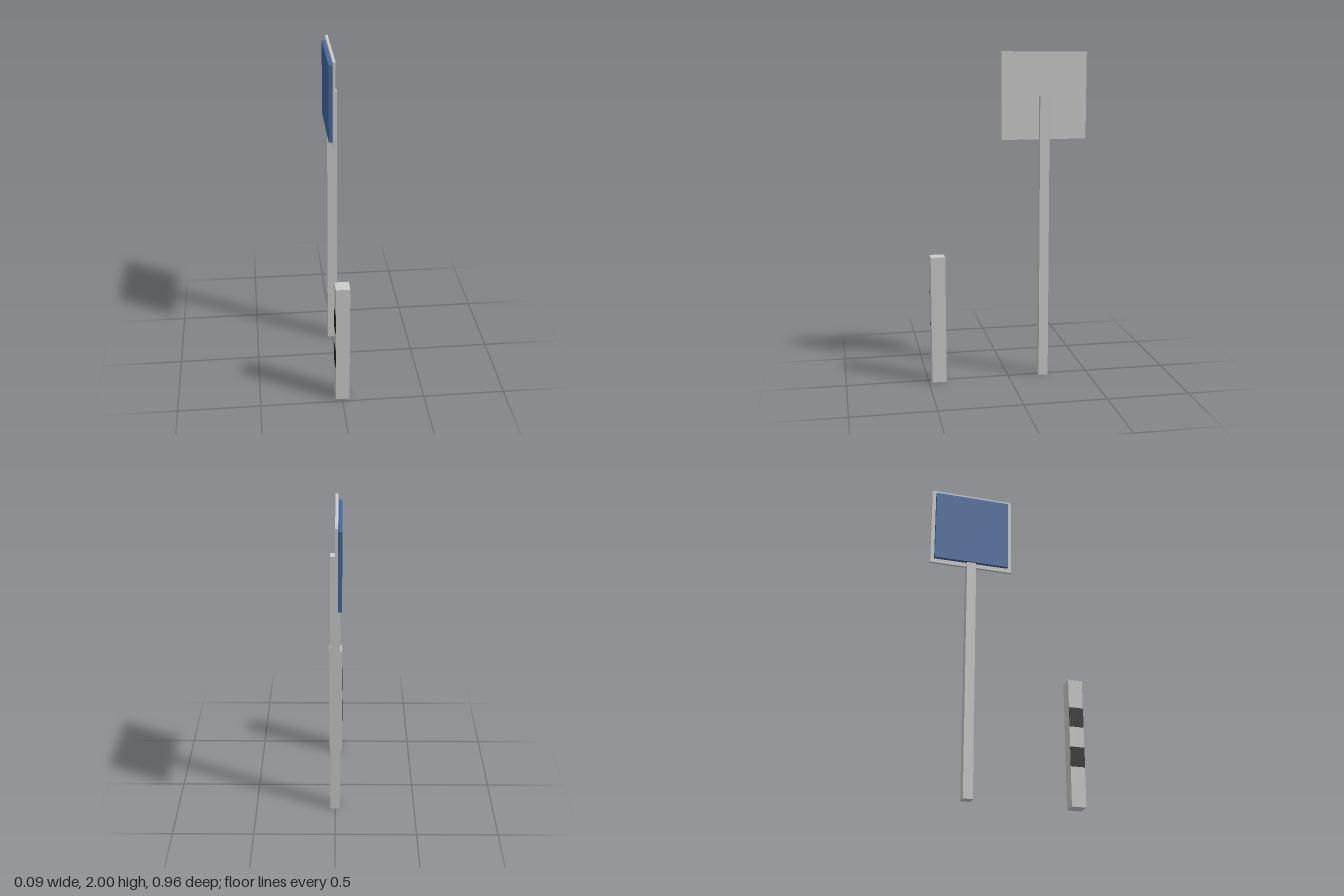
import * as THREE from 'three';

export function createModel() {
  const group = new THREE.Group();
  const grey = new THREE.MeshStandardMaterial({ color: 0xcccccc });
  const blue = new THREE.MeshStandardMaterial({ color: 0x44689f });
  const black = new THREE.MeshStandardMaterial({ color: 0x222222 });

  // Box given by its extents along each axis
  function box(name, material, [x0, x1], [y0, y1], [z0, z1]) {
    const mesh = new THREE.Mesh(new THREE.BoxGeometry(x1 - x0, y1 - y0, z1 - z0), material);
    mesh.position.set((x0 + x1) / 2, (y0 + y1) / 2, (z0 + z1) / 2);
    mesh.name = name;
    group.add(mesh);
  }

  // Sign: post, backing plate and coloured face panel
  box('signPost', grey, [-0.03, 0.03], [0, 1.74], [-0.248, -0.19]);
  box('signPlate', grey, [-0.016, 0], [1.48, 2], [-0.479, 0.04]);
  box('signPanel', blue, [-0.038, -0.016], [1.507, 1.974], [-0.455, 0.015]);

  // Bollard with two thin dark bands on its sign-facing side
  const depth = [0.391, 0.479];
  box('bollard', grey, [-0.041, 0.043], [0, 0.785], depth);
  for (const y of [0.24, 0.486]) {
    box('bollardBand', black, [-0.044, -0.041], [y, y + 0.12], depth);
  }

  return group;
}
